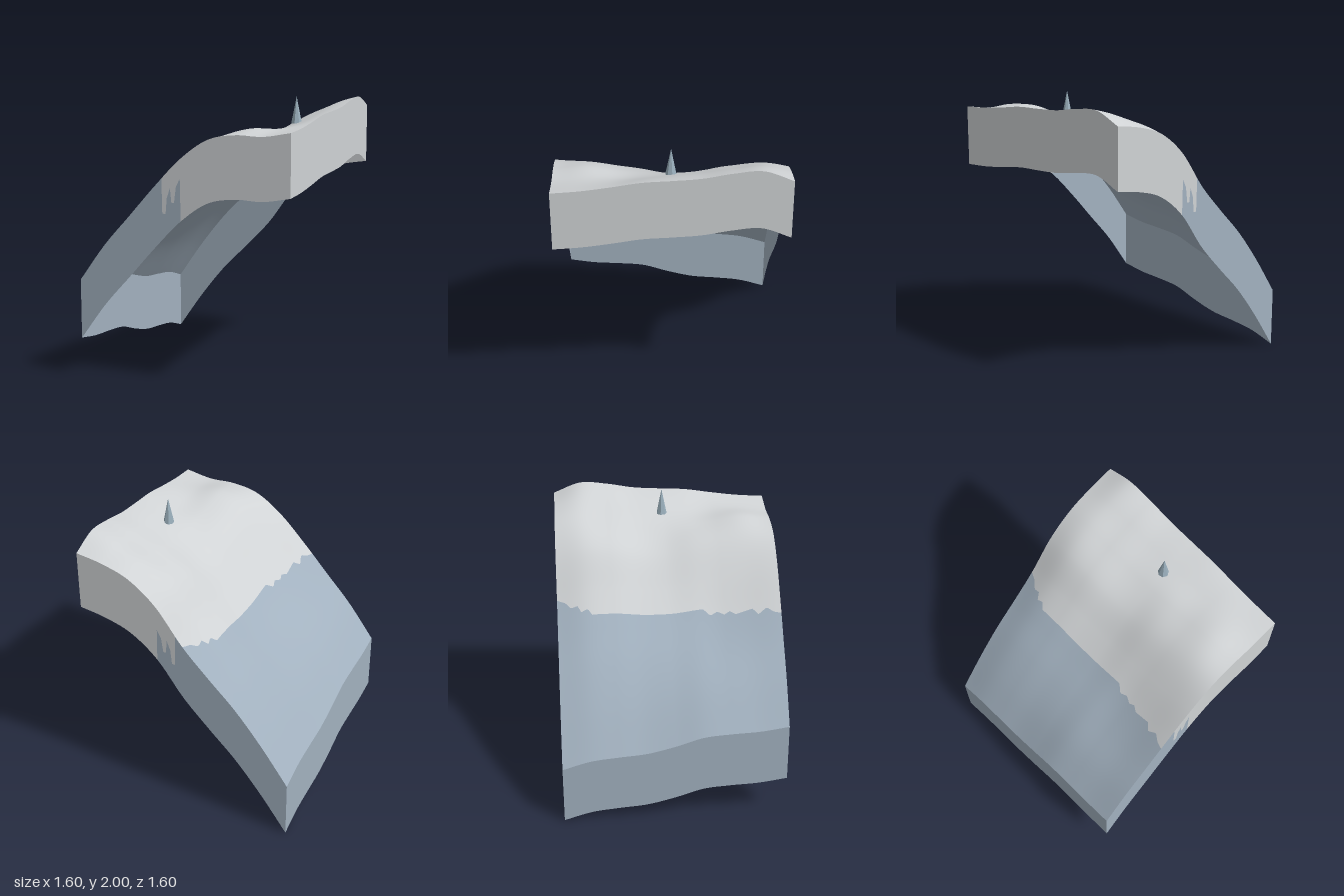
import * as THREE from 'three';

const H = 0.8, DEPTH = 0.43;

// Edge heights of the terrain, evenly spaced from -0.8 to 0.8
const FRONT = [0.71, 0.975, 1.195, 1.415, 1.615, 1.75, 1.79, 1.787, 1.82];
const BACK = [0.43, 0.71, 0.955, 1.155, 1.365, 1.63, 1.79, 1.86, 1.895];
const LEFT_END = [0.43, 0.49, 0.515, 0.535, 0.585, 0.648, 0.668, 0.68, 0.71];
const RIGHT_END = [1.895, 1.97, 1.955, 1.92, 1.905, 1.893, 1.862, 1.835, 1.82];

// Where the lower colour meets the upper colour on the ground: [z, x]
const SEAM = [[-0.8, 0], [-0.74, -0.03], [-0.7, -0.07], [-0.65, -0.07], [-0.63, -0.11],
  [-0.58, -0.1], [-0.55, -0.135], [0.25, -0.135], [0.3, -0.175], [0.35, -0.16], [0.4, -0.185],
  [0.44, -0.175], [0.48, -0.2], [0.6, -0.2], [0.64, -0.24], [0.7, -0.22], [0.75, -0.255], [0.8, -0.27]];

// Streaked colour border on the front wall: [x, y]
const STREAKS = [[-0.8, 2], [-0.141, 2], [-0.14, 1.23], [-0.115, 1.23], [-0.105, 1.34], [-0.08, 1.41],
  [-0.07, 1.31], [-0.05, 1.31], [-0.035, 1.42], [-0.005, 1.48], [0, 0], [1, 0]];

// Catmull-Rom through evenly spaced heights
function smooth(a, t) {
  const s = THREE.MathUtils.clamp((t + H) / (2 * H), 0, 1) * (a.length - 1);
  const i = Math.min(Math.floor(s), a.length - 2), f = s - i;
  const p1 = a[i], p2 = a[i + 1];
  const p0 = i > 0 ? a[i - 1] : 2 * p1 - p2;
  const p3 = i + 2 < a.length ? a[i + 2] : 2 * p2 - p1;
  return p1 + 0.5 * f * (p2 - p0 + f * (2 * p0 - 5 * p1 + 4 * p2 - p3 + f * (3 * (p1 - p2) + p3 - p0)));
}

function linear(points, t) {
  for (let i = 1; i < points.length; i++) {
    const [a, p] = points[i - 1], [b, q] = points[i];
    if (t <= b) return p + (q - p) * Math.max(0, (t - a) / (b - a));
  }
  return points[points.length - 1][1];
}

const bump = (x, z, cx, cz, sx, sz) => Math.exp(-(((x - cx) / sx) ** 2) - ((z - cz) / sz) ** 2);

// Ground height: a patch blended from the four edges, plus hollows and a knoll
function height(x, z) {
  const u = (x + H) / (2 * H), v = (z + H) / (2 * H), mix = THREE.MathUtils.lerp;
  const across = mix(smooth(BACK, x), smooth(FRONT, x), v);
  const along = mix(smooth(LEFT_END, z), smooth(RIGHT_END, z), u);
  const corners = mix(mix(BACK[0], FRONT[0], v), mix(BACK[8], FRONT[8], v), u);
  const fade = (1 - Math.min(1, Math.abs(x / H)) ** 8) * (1 - Math.min(1, Math.abs(z / H)) ** 8);
  const relief = -0.11 * bump(x, z, -0.15, 0.25, 0.35, z < 0.25 ? 0.45 : 0.38)
    - 0.08 * bump(x, z, 0.3, -0.05, 0.28, 0.28)
    - 0.04 * bump(x, z, 0.5, 0.25, 0.25, 0.2)
    - 0.05 * bump(x, z, 0.43, -0.5, 0.24, 0.25)
    + 0.025 * bump(x, z, 0.4, 0.6, 0.22, 0.16);
  return across + along - corners + fade * relief;
}

function groundNormal(p) {
  const e = 0.012;
  const x0 = Math.max(-H, p.x - e), x1 = Math.min(H, p.x + e);
  const z0 = Math.max(-H, p.z - e), z1 = Math.min(H, p.z + e);
  return new THREE.Vector3(-(height(x1, p.z) - height(x0, p.z)) / (x1 - x0), 1,
    -(height(p.x, z1) - height(p.x, z0)) / (z1 - z0)).normalize();
}

// Grid surface from a point rule and a normal rule
function sheet(name, material, nu, nv, point, normal) {
  const pos = [], nor = [], index = [];
  for (let j = 0; j <= nv; j++) {
    for (let i = 0; i <= nu; i++) {
      const p = point(i / nu, j / nv);
      pos.push(p.x, p.y, p.z);
      nor.push(...normal(p).toArray());
      if (i < nu && j < nv) {
        const a = j * (nu + 1) + i, c = a + nu + 1;
        index.push(a, c, a + 1, c, c + 1, a + 1);
      }
    }
  }
  const g = new THREE.BufferGeometry();
  g.setAttribute('position', new THREE.Float32BufferAttribute(pos, 3));
  g.setAttribute('normal', new THREE.Float32BufferAttribute(nor, 3));
  g.setIndex(index);
  const mesh = new THREE.Mesh(g, material);
  mesh.name = name;
  return mesh;
}

export function createModel() {
  const model = new THREE.Group();
  model.name = 'terrainTile';
  const make = (name, color, extra) => Object.assign(new THREE.MeshStandardMaterial({ color, ...extra }), { name });
  const slate = make('slateBlue', 0xa2b1bf, { side: THREE.DoubleSide });
  const stone = make('stoneGrey', 0xd0d3d5, { side: THREE.DoubleSide });
  const steel = make('spikeBlue', 0x9aafbc, { flatShading: true });
  const V = (x, y, z) => new THREE.Vector3(x, y, z);

  // Ground, split along the ragged seam
  const ground = (name, material, from, to) => sheet(name, material, 60, 120, (u, v) => {
    const z = (v * 2 - 1) * H, x = THREE.MathUtils.lerp(from(z), to(z), u);
    return V(x, height(x, z), z);
  }, groundNormal);
  const seam = z => linear(SEAM, z);
  model.add(ground('lowerSlope', slate, () => -H, seam), ground('upperGround', stone, seam, () => H));

  // Front and back skirts, each split by the streaked border
  for (const side of [1, -1]) {
    const label = side > 0 ? 'front' : 'back';
    const border = x => {
      const top = height(x, side * H);
      const y = side > 0 ? linear(STREAKS, x) : linear(STREAKS, x - 0.2) - 0.03;
      return THREE.MathUtils.clamp(y, top - DEPTH, top);
    };
    const wall = (name, material, hi, lo) => sheet(name, material, 320, 1, (u, v) => {
      const x = side * (u * 2 - 1) * H;
      return V(x, THREE.MathUtils.lerp(hi(x), lo(x), v), side * H);
    }, () => V(0, 0, side));
    model.add(wall(label + 'SkirtUpper', stone, x => height(x, side * H), border));
    model.add(wall(label + 'SkirtLower', slate, border, x => height(x, side * H) - DEPTH));
  }

  // End skirts; the tile is open underneath
  for (const side of [1, -1]) {
    model.add(sheet(side > 0 ? 'highEndSkirt' : 'lowEndSkirt', side > 0 ? stone : slate, 120, 1, (u, v) => {
      const z = -side * (u * 2 - 1) * H;
      return V(side * H, height(side * H, z) - v * DEPTH, z);
    }, () => V(side, 0, 0)));
  }

  // Spike standing on the plateau
  const spike = new THREE.Mesh(new THREE.ConeGeometry(0.039, 0.19, 7), steel);
  spike.name = 'spike';
  spike.position.set(0.53, 2 - 0.095, 0);
  model.add(spike);
  return model;
}
